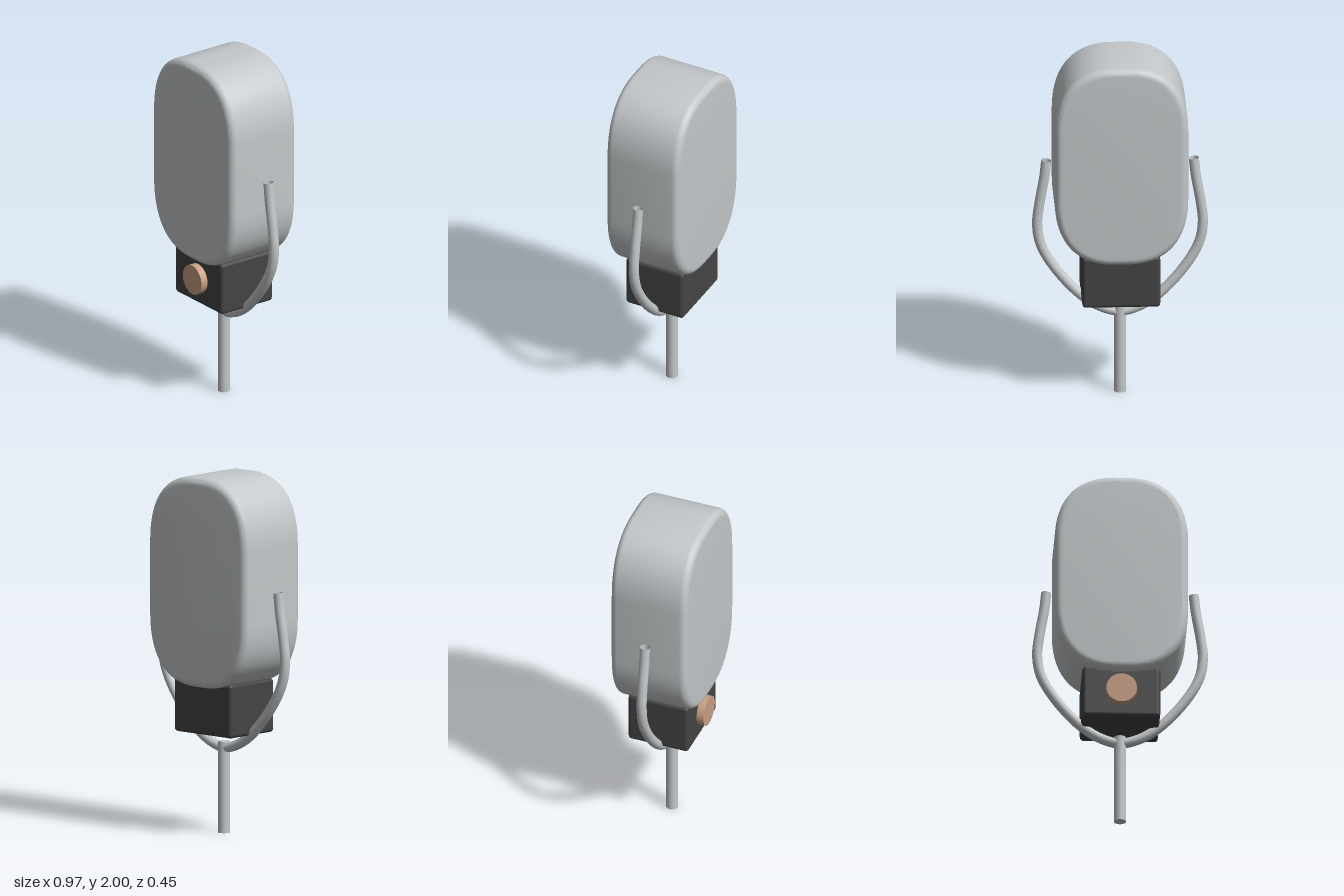
import * as THREE from 'three';
import { toCreasedNormals } from 'three/addons/utils/BufferGeometryUtils.js';
import { RoundedBoxGeometry } from 'three/addons/geometries/RoundedBoxGeometry.js';

function material(name, color, side = THREE.FrontSide) {
  const m = new THREE.MeshStandardMaterial({ color, side });
  m.name = name;
  return m;
}

export function createModel() {
  const group = new THREE.Group();
  const silver = material('silver', 0xc4c8ca, THREE.DoubleSide);
  const charcoal = material('charcoal', 0x444444);
  const copper = material('copper', 0xc99f83);

  function add(name, geometry, mat, x = 0, y = 0, z = 0) {
    const mesh = new THREE.Mesh(geometry, mat);
    mesh.name = name;
    mesh.position.set(x, y, z);
    group.add(mesh);
    return mesh;
  }

  // Capsule head: softly squared outline with rounded front and back rims
  const w = 0.368, top = 2, bottom = 0.83, hi = 1.62, lo = 1.21;
  const flat = 0.04, cx = 0.25, cy = 0.24;
  const outline = new THREE.Shape();
  outline.moveTo(w, lo);
  outline.lineTo(w, hi);
  outline.bezierCurveTo(w, hi + cy, cx, top, flat, top);
  outline.lineTo(-flat, top);
  outline.bezierCurveTo(-cx, top, -w, hi + cy, -w, hi);
  outline.lineTo(-w, lo);
  outline.bezierCurveTo(-w, lo - cy, -cx, bottom, -flat, bottom);
  outline.lineTo(flat, bottom);
  outline.bezierCurveTo(cx, bottom, w, lo - cy, w, lo);
  const bevel = 0.04, depth = 0.45;
  const head = new THREE.ExtrudeGeometry(outline, {
    depth: depth - 2 * bevel, curveSegments: 20, bevelEnabled: true,
    bevelThickness: bevel, bevelSize: bevel, bevelOffset: -bevel, bevelSegments: 6,
  });
  head.translate(0, 0, bevel - depth / 2);
  add('head', toCreasedNormals(head, 0.6), silver);

  // Base block with its round dial on the front
  add('baseBlock', new RoundedBoxGeometry(0.43, 0.3, 0.356, 4, 0.02), charcoal, 0, 0.713, 0);
  const dial = new THREE.CylinderGeometry(0.085, 0.085, 0.06, 40);
  dial.rotateX(Math.PI / 2);
  add('dial', dial, copper, 0, 0.715, 0.19);

  // U-shaped yoke, open at both ends, mirrored about the stem
  const half = [[0.407, 1.38], [0.418, 1.28], [0.445, 1.12], [0.457, 1.0],
    [0.437, 0.88], [0.36, 0.74], [0.22, 0.58], [0.11, 0.505]];
  const points = [
    ...half.map(([x, y]) => new THREE.Vector3(-x, y, 0)),
    new THREE.Vector3(0, 0.475, 0),
    ...half.slice().reverse().map(([x, y]) => new THREE.Vector3(x, y, 0)),
  ];
  add('yoke', new THREE.TubeGeometry(new THREE.CatmullRomCurve3(points), 120, 0.028, 20), silver);

  // Stem
  add('stem', new THREE.CylinderGeometry(0.034, 0.034, 0.51, 28), silver, 0, 0.255, 0);

  return group;
}
